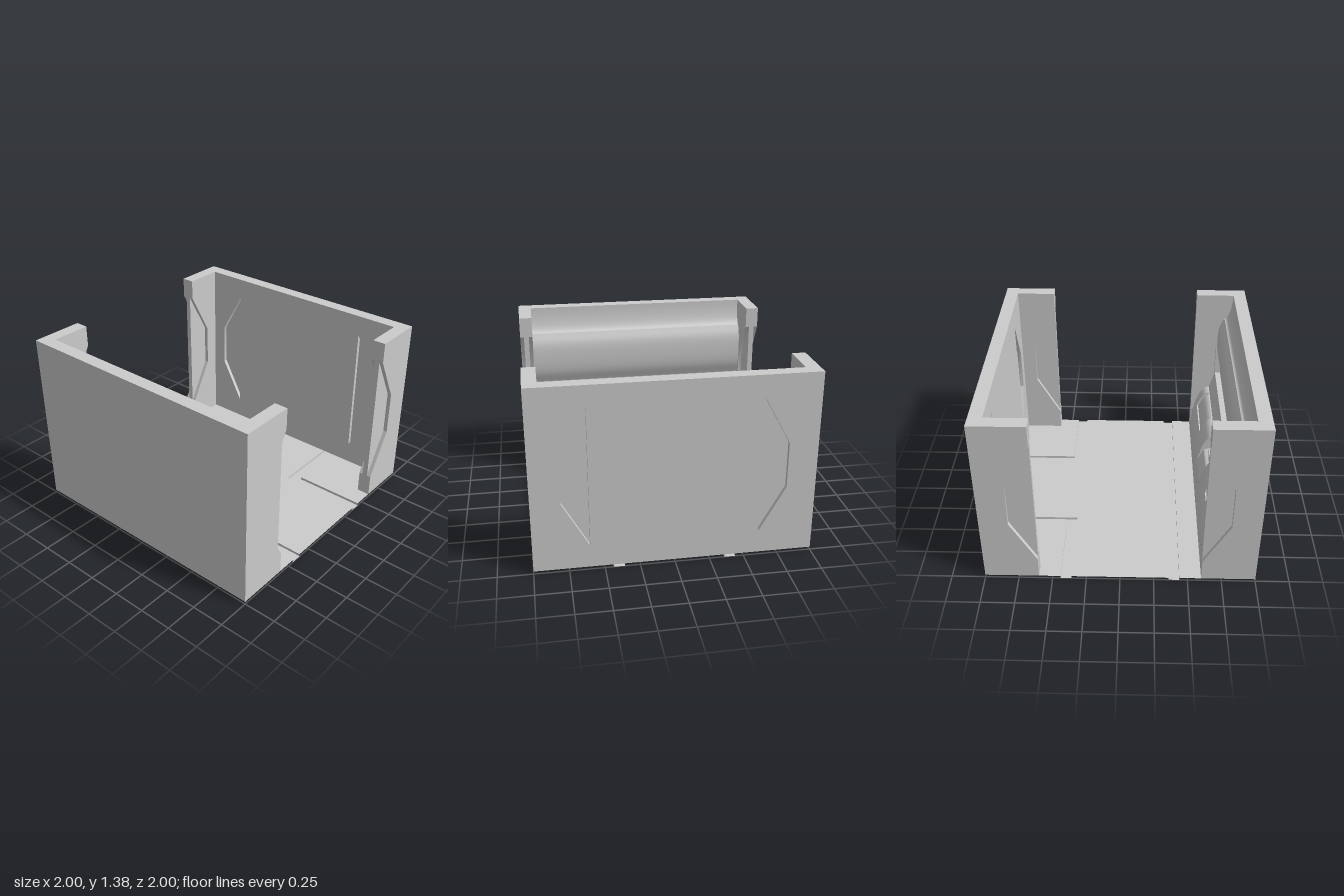
import * as THREE from 'three';
import { toCreasedNormals } from 'three/addons/utils/BufferGeometryUtils.js';

const material = new THREE.MeshStandardMaterial({ color: 0xcccccc, side: THREE.DoubleSide });
const BASE = 0.02, TOP = 1.38, IN = 0.9, EDGE = 0.6, DEPTH = 0.03;

function add(parent, name, geometry) {
  const mesh = new THREE.Mesh(geometry, material);
  mesh.name = name;
  parent.add(mesh);
}

// Ruled surface between two point lists of equal length
function ribbon(a, b) {
  const pos = [], index = [];
  a.forEach((p, i) => {
    pos.push(...p, ...b[i]);
    if (i) index.push(2 * i - 2, 2 * i, 2 * i - 1, 2 * i - 1, 2 * i, 2 * i + 1);
  });
  const g = new THREE.BufferGeometry();
  g.setAttribute('position', new THREE.Float32BufferAttribute(pos, 3));
  g.setIndex(index);
  return toCreasedNormals(g, 0.5);
}

// Flat polygon with holes, its 2D points placed in space by a rule
function flat(points, place, holes = []) {
  const v = (list) => list.map(([x, y]) => new THREE.Vector2(x, y));
  const shape = new THREE.Shape(v(points));
  holes.forEach((h) => shape.holes.push(new THREE.Path(v(h))));
  const g = new THREE.ShapeGeometry(shape);
  const p = g.attributes.position;
  for (let i = 0; i < p.count; i++) p.setXYZ(i, ...place(p.getX(i), p.getY(i)));
  g.computeVertexNormals();
  return g;
}

const rect = (x0, y0, x1, y1) => [[x0, y0], [x1, y0], [x1, y1], [x0, y1]];
const grip = (s = 1) => [[0.6, 0.19], [0.79, 0.53], [0.79, 0.87], [0.6, 1.22]].map(([u, y]) => [s * u, y]);

// Floor and side walls of a grip recess
function recess(parent, outline, closed, place, from, to) {
  add(parent, 'gripFloor', flat(outline, (u, y) => place(u, y, to)));
  const path = closed ? [...outline, outline[0]] : outline;
  add(parent, 'gripRim', ribbon(path.map(([u, y]) => place(u, y, from)), path.map(([u, y]) => place(u, y, to))));
}

// Pillar with a grip recess on both faces; sx and sz choose the corner
function pillar(sx, sz) {
  const group = new THREE.Group();
  group.name = 'pillar';
  const place = (u, y, w) => [sx * w, y, sz * u];
  for (const [w, inner] of [[1, 1 - DEPTH], [IN, IN + DEPTH]]) {
    const outline = [[EDGE, BASE], [w, BASE], [w, TOP], [EDGE, TOP], ...grip().reverse()];
    add(group, 'pillarSide', flat(outline, (u, y) => place(u, y, w)));
    recess(group, grip(), false, place, w, inner);
  }
  for (const [y0, y1, d] of [[BASE, 0.19, 0], [0.19, 1.22, DEPTH], [1.22, TOP, 0]]) {
    add(group, 'pillarEdge', flat(rect(IN + d, y0, 1 - d, y1), (w, y) => place(EDGE, y, w)));
  }
  return group;
}

// U-shaped rim closing the top of a wall and its pillars
function rim(sz) {
  const pts = [[-1, EDGE], [-IN, EDGE], [-IN, IN], [IN, IN], [IN, EDGE], [1, EDGE], [1, 1], [-1, 1]];
  return flat(pts, (x, z) => [x, TOP, sz * z]);
}

function backWall() {
  const group = new THREE.Group();
  group.name = 'backWall';
  const place = (x, y, z) => [x, y, z];
  for (const [half, z, inner] of [[1, -1, -1 + DEPTH], [IN, -IN, -IN - DEPTH]]) {
    add(group, 'wallFace', flat(rect(-half, BASE, half, TOP), (x, y) => place(x, y, z), [grip(1), grip(-1)]));
    for (const s of [-1, 1]) recess(group, grip(s), true, place, z, inner);
  }
  add(group, 'backRim', rim(-1));
  return group;
}

// Moulded panel lining the front wall: lower swell, ledge, rounded bar, upper cove
function innerPanel() {
  const group = new THREE.Group();
  group.name = 'innerPanel';
  const at = (x, list) => list.map(([z, y]) => [x, y, z]);
  const strip = (name, x0, x1, list) => add(group, name, ribbon(at(x0, list), at(x1, list)));
  const angle = (z) => Math.acos(Math.min(1, (0.75 - z) / 0.15));
  const swell = (z0, z1, n = 16) => Array.from({ length: n + 1 }, (_, i) => {
    const t = THREE.MathUtils.lerp(angle(z0), angle(z1), i / n);
    return [0.75 - 0.15 * Math.cos(t), BASE + 0.46 * Math.sin(t)];
  });

  // lower swell, interrupted by recessed pockets
  const pocket = (x0, x1, z0, z1, sunk) => {
    const skin = swell(z0, z1), low = skin.map(sunk);
    strip('lowerPanel', x0, x1, swell(0.6, z0));
    if (z1 < 0.75) strip('lowerPanel', x0, x1, swell(z1, 0.75, 2));
    strip('pocketFloor', x0, x1, [skin[0], ...low, skin[skin.length - 1]]);
    for (const x of [x0, x1]) add(group, 'pocketSide', ribbon(at(x, skin), at(x, low)));
  };
  for (const s of [-1, 1]) {
    strip('lowerPanel', s * 0.15, s * 0.4, swell(0.6, 0.75));
    strip('lowerPanel', s * 0.8, s * IN, swell(0.6, 0.75));
    pocket(s * 0.4, s * 0.8, 0.645, 0.74, ([z, y]) => [z + 0.012, y - 0.015]);
  }
  pocket(-0.15, 0.15, 0.62, 0.75, ([z]) =>
    z < 0.67 ? [z, 0.24 + (z - 0.62) * 2] : [z, 0.34 + (z - 0.67) * 0.3]);
  const tab = new THREE.BoxGeometry(0.1, 0.06, 0.05);
  tab.translate(0, 0.38, 0.725);
  add(group, 'pocketTab', tab);

  strip('ledge', -IN, IN, [[0.75, 0.48], [0.795, 0.63], [0.84, 0.63], [0.84, 0.74]]);
  const bar = new THREE.CatmullRomCurve3([[0.84, 0.74], [0.805, 0.84], [0.795, 0.98], [0.805, 1.09], [0.84, 1.17]]
    .map(([z, y]) => new THREE.Vector3(0, y, z))).getPoints(20).map((p) => [p.z, p.y]);
  strip('roundedBar', -IN, IN, bar);
  const cove = Array.from({ length: 13 }, (_, i) => {
    const t = i / 12 * Math.PI / 2;
    return [0.84 + 0.06 * Math.sin(t), TOP - 0.21 * Math.cos(t)];
  });
  strip('upperCove', -IN, IN, cove);
  return group;
}

// Floor sheet with one straight channel and two corner channels pressed down
function floor() {
  const group = new THREE.Group();
  group.name = 'floor';
  const sheet = (name, pts, y) => add(group, name, flat(pts, (x, z) => [x, y, z]));
  const wall = (pts) => add(group, 'channelWall',
    ribbon(pts.map(([x, z]) => [x, 0, z]), pts.map(([x, z]) => [x, BASE, z])));
  const a = 0.36, b = 0.44;
  sheet('floorFront', rect(-1, b, 1, EDGE), BASE);
  sheet('floorMain', [[-1, a], [1, a], [1, -a], [a, -a], [a, -1], [-a, -1], [-a, -a], [-1, -a]], BASE);
  sheet('frontChannel', rect(-1, a, 1, b), 0);
  wall([[-1, a], [1, a]]);
  wall([[-1, b], [1, b]]);
  for (const s of [-1, 1]) {
    const m = (pts) => pts.map(([x, z]) => [s * x, z]);
    const outer = m([[1, -a], [a, -a], [a, -1]]), inner = m([[b, -1], [b, -b], [1, -b]]);
    sheet('cornerChannel', [...outer, ...inner], 0);
    wall(outer);
    wall(inner);
    sheet('floorCorner', m([[b, -b], [1, -b], [1, -EDGE], [IN, -EDGE], [IN, -1], [b, -1]]), BASE);
  }
  return group;
}

export function createModel() {
  const model = new THREE.Group();
  model.name = 'openCase';
  for (const sx of [-1, 1]) for (const sz of [-1, 1]) model.add(pillar(sx, sz));
  model.add(backWall(), innerPanel(), floor());
  add(model, 'frontWall', flat(rect(-1, BASE, 1, TOP), (x, y) => [x, y, 1]));
  add(model, 'frontRim', rim(1));
  return model;
}
